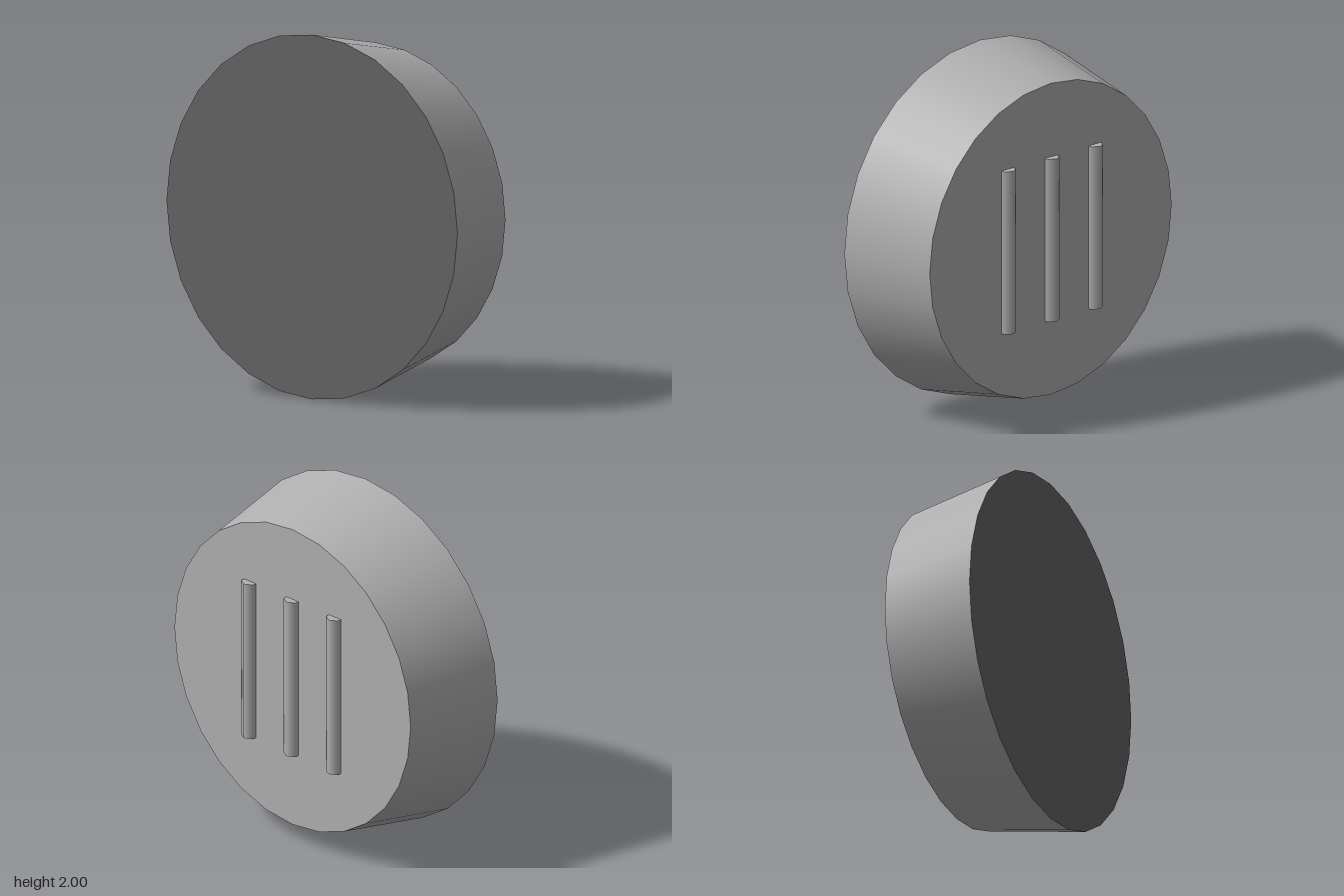
import * as THREE from 'three';

export function createModel() {
  const group = new THREE.Group();
  const grey = new THREE.MeshStandardMaterial({ color: 0xb0b0b0 });
  grey.name = 'light grey';
  const dark = new THREE.MeshStandardMaterial({ color: 0x646466 });
  dark.name = 'dark grey';

  // Tapered round body, axis along x; material order: side, narrow face, wide face
  const back = -0.31, face = 0.255, depth = face - back;
  const bodyGeo = new THREE.CylinderGeometry(0.89, 1, depth, 28);
  bodyGeo.rotateZ(-Math.PI / 2);
  const body = new THREE.Mesh(bodyGeo, [grey, grey, dark]);
  body.name = 'body';
  body.position.set((back + face) / 2, 1, 0);
  group.add(body);

  // Three upright six-sided ribs, half sunk into the narrow face
  const ribGeo = new THREE.CylinderGeometry(0.05, 0.05, 0.93, 6, 1, false, Math.PI / 2);
  [-0.32, 0, 0.32].forEach((z, i) => {
    const rib = new THREE.Mesh(ribGeo, grey);
    rib.name = `rib${i + 1}`;
    rib.position.set(face, 1.005, z);
    group.add(rib);
  });
  return group;
}
